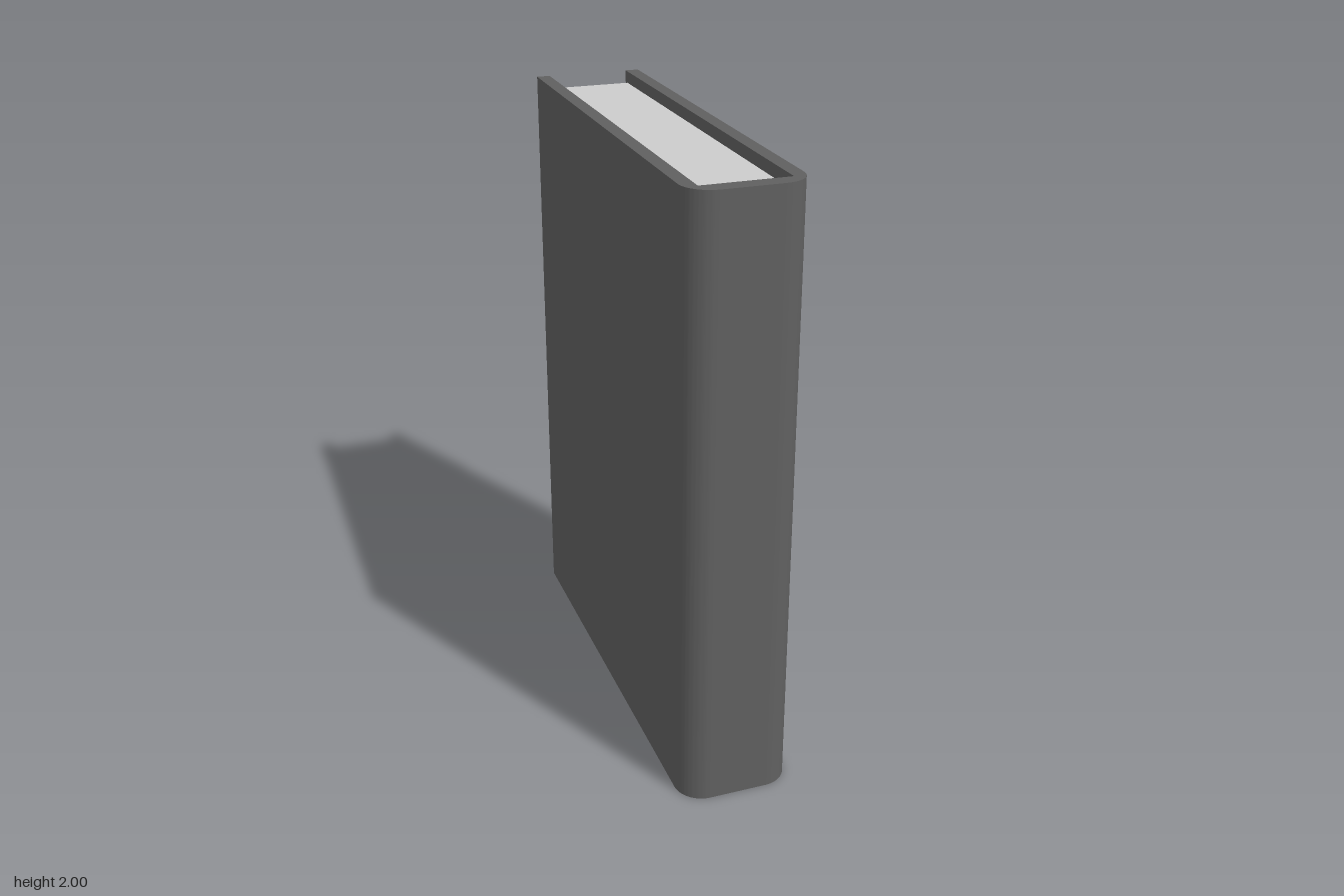
import * as THREE from 'three';
import { toCreasedNormals } from 'three/addons/utils/BufferGeometryUtils.js';

const HEIGHT = 2, HALF_W = 0.185, HALF_D = 0.76;
const INNER_W = 0.14, INNER_FRONT = 0.705, ROUND = 0.09;

export function createModel() {
  const book = new THREE.Group();
  book.name = 'book';

  const coverMaterial = new THREE.MeshStandardMaterial({ color: 0x606060 });
  coverMaterial.name = 'cover grey';
  const paperMaterial = new THREE.MeshStandardMaterial({ color: 0xcccccc });
  paperMaterial.name = 'paper';

  // U-shaped cover outline seen from above; shape y is -z, so the spine is at -y
  const outline = new THREE.Shape();
  outline.moveTo(-HALF_W, HALF_D);
  outline.lineTo(-HALF_W, -HALF_D + ROUND);
  outline.absarc(-HALF_W + ROUND, -HALF_D + ROUND, ROUND, Math.PI, Math.PI * 1.5, false);
  outline.lineTo(HALF_W - ROUND, -HALF_D);
  outline.absarc(HALF_W - ROUND, -HALF_D + ROUND, ROUND, Math.PI * 1.5, Math.PI * 2, false);
  outline.lineTo(HALF_W, HALF_D);
  outline.lineTo(INNER_W, HALF_D);
  outline.lineTo(INNER_W, -INNER_FRONT);
  outline.lineTo(-INNER_W, -INNER_FRONT);
  outline.lineTo(-INNER_W, HALF_D);
  outline.closePath();

  // Boards and rounded spine in one piece
  const coverGeometry = new THREE.ExtrudeGeometry(outline, {
    depth: HEIGHT, bevelEnabled: false, curveSegments: 10,
  });
  coverGeometry.rotateX(-Math.PI / 2);
  const cover = new THREE.Mesh(toCreasedNormals(coverGeometry, Math.PI / 6), coverMaterial);
  cover.name = 'cover';
  book.add(cover);

  // Page block, set back from the cover's top, bottom and open edge
  const inset = 0.04, back = -0.74;
  const pages = new THREE.Mesh(
    new THREE.BoxGeometry(INNER_W * 2, HEIGHT - inset * 2, INNER_FRONT - back),
    paperMaterial,
  );
  pages.position.set(0, HEIGHT / 2, (INNER_FRONT + back) / 2);
  pages.name = 'pages';
  book.add(pages);

  return book;
}
